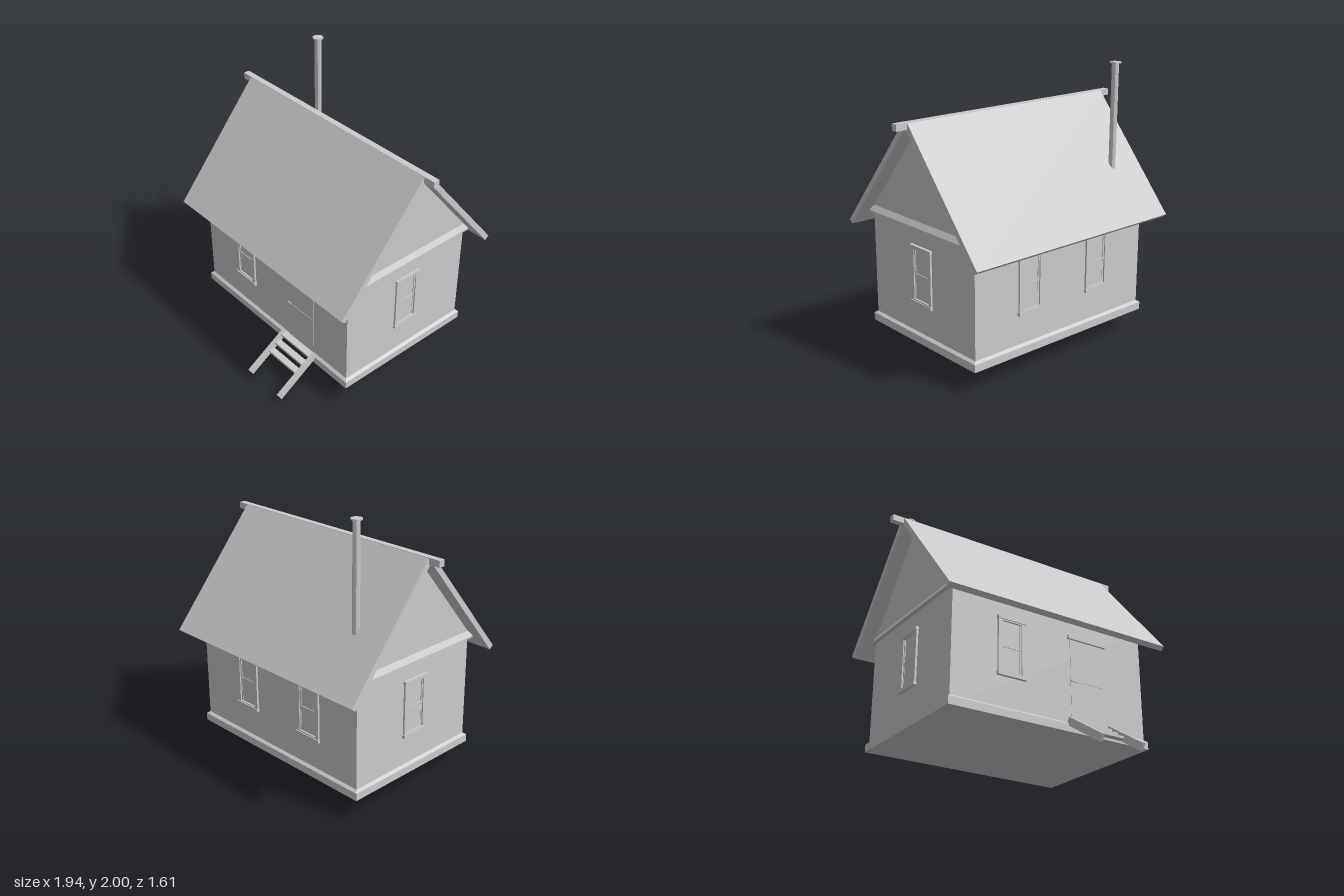
import * as THREE from 'three';

const grey = new THREE.MeshStandardMaterial({ color: 0xcccccc, flatShading: true });
const MID = -0.1; // z of the ridge and of the house centre

function add(parent, name, geometry, x = 0, y = 0, z = 0) {
  const mesh = new THREE.Mesh(geometry, grey);
  mesh.name = name;
  mesh.position.set(x, y, z);
  parent.add(mesh);
  return mesh;
}

// Box given by its limits on each axis
function block(parent, name, [x0, x1], [y0, y1], [z0, z1]) {
  return add(parent, name, new THREE.BoxGeometry(x1 - x0, y1 - y0, z1 - z0),
    (x0 + x1) / 2, (y0 + y1) / 2, (z0 + z1) / 2);
}

// Side profile of [z, y] points, extruded along x
function prism(parent, name, points, x0, x1) {
  const shape = new THREE.Shape(points.map(([z, y]) => new THREE.Vector2(-z, y)));
  const geometry = new THREE.ExtrudeGeometry(shape, { depth: x1 - x0, bevelEnabled: false });
  geometry.rotateY(Math.PI / 2);
  return add(parent, name, geometry, x0);
}

// Band around the house with its top edge chamfered back to the wall
function band(parent, name, halfX, halfZ, y0, y1, y2, inset) {
  const geometry = new THREE.BoxGeometry(2 * halfX, y2 - y0, 2 * halfZ, 1, 2, 1);
  const p = geometry.attributes.position;
  for (let i = 0; i < p.count; i++) {
    const y = p.getY(i);
    if (y > 0.001) {
      p.setX(i, p.getX(i) - Math.sign(p.getX(i)) * inset);
      p.setZ(i, p.getZ(i) - Math.sign(p.getZ(i)) * inset);
    } else if (y > -0.001) p.setY(i, y1 - (y0 + y2) / 2);
  }
  geometry.computeVertexNormals();
  return add(parent, name, geometry, 0, (y0 + y2) / 2, MID);
}

function frameGeometry(w, h, border, depth) {
  const rect = (C, a, b) => new C([[-a, -b], [a, -b], [a, b], [-a, b]].map(([x, y]) => new THREE.Vector2(x, y)));
  const shape = rect(THREE.Shape, w / 2, h / 2);
  shape.holes.push(rect(THREE.Path, w / 2 - border, h / 2 - border));
  return new THREE.ExtrudeGeometry(shape, { depth, bevelEnabled: false });
}

// Sash window centred on its origin, facing +z
function makeWindow(name) {
  const win = new THREE.Group();
  win.name = name;
  add(win, 'casing', frameGeometry(0.21, 0.41, 0.027, 0.014));
  block(win, 'sill', [-0.11, 0.11], [-0.21, -0.187], [0, 0.021]);
  block(win, 'lintel', [-0.11, 0.11], [0.187, 0.21], [0, 0.021]);
  add(win, 'upperSash', frameGeometry(0.156, 0.195, 0.012, 0.007), 0, 0.093, 0);
  add(win, 'lowerSash', frameGeometry(0.156, 0.195, 0.012, 0.004), 0, -0.093, 0);
  block(win, 'pane', [-0.077, 0.077], [-0.187, 0.187], [0, 0.0015]);
  return win;
}

export function createModel() {
  const house = new THREE.Group();
  house.name = 'house';

  // Walls with gables, plinth and eaves band
  prism(house, 'walls', [[0.447, 0.17], [0.447, 1.03], [MID, 1.69], [-0.647, 1.03], [-0.647, 0.17]], -0.775, 0.775);
  band(house, 'plinth', 0.795, 0.567, 0.16, 0.215, 0.23, 0.02);
  band(house, 'gableBand', 0.8, 0.573, 0.98, 0.992, 1.03, 0.025);

  // Roof slopes mirrored about the ridge, and the ridge beam
  for (const s of [1, -1]) {
    const slope = [[0.022, 1.72], [0.7, 0.91], [0.669, 0.885], [0, 1.685], [0, 1.72]];
    prism(house, s > 0 ? 'frontRoof' : 'backRoof', slope.map(([z, y]) => [MID - 0.0025 + s * z, y]), -0.885, 0.885);
  }
  block(house, 'ridgeBeam', [-0.97, 0.97], [1.675, 1.721], [-0.126, -0.08]);

  // Stove pipe with a thin cap
  add(house, 'stovePipe', new THREE.CylinderGeometry(0.025, 0.025, 0.79, 8), -0.622, 1.595, -0.503);
  add(house, 'pipeCap', new THREE.CylinderGeometry(0.04, 0.04, 0.01, 8), -0.622, 1.995, -0.503);

  // Windows: [name, x, z, turn]
  for (const [name, x, z, turn] of [
    ['frontWindow', -0.325, 0.447, 0],
    ['leftWindow', 0.775, MID, Math.PI / 2],
    ['rightWindow', -0.775, MID, -Math.PI / 2],
    ['backWindowA', 0.3, -0.647, Math.PI],
    ['backWindowB', -0.325, -0.647, Math.PI],
  ]) {
    const win = makeWindow(name);
    win.position.set(x, 0.65, z);
    win.rotation.y = turn;
    house.add(win);
  }

  // Two-leaf door with lintel and handle
  const door = new THREE.Group();
  door.name = 'door';
  house.add(door);
  block(door, 'lowerLeaf', [0.155, 0.435], [0.225, 0.528], [0.44, 0.45]);
  block(door, 'upperLeaf', [0.155, 0.435], [0.532, 0.835], [0.44, 0.45]);
  block(door, 'doorLintel', [0.133, 0.452], [0.835, 0.86], [0.44, 0.465]);
  block(door, 'handle', [0.158, 0.192], [0.526, 0.536], [0.44, 0.458]);

  // Entrance steps
  const steps = new THREE.Group();
  steps.name = 'steps';
  house.add(steps);
  const stringer = [[0.47, 0.262], [0.443, 0.215], [0.775, 0.004], [0.803, 0.052]];
  for (const x of [0.118, 0.446]) prism(steps, 'stringer', stringer, x, x + 0.02);
  for (const [z, y] of [[0.48, 0.222], [0.54, 0.18], [0.6, 0.137]]) {
    block(steps, 'tread', [0.135, 0.45], [y - 0.008, y + 0.008], [z - 0.025, z + 0.025]);
  }
  return house;
}
